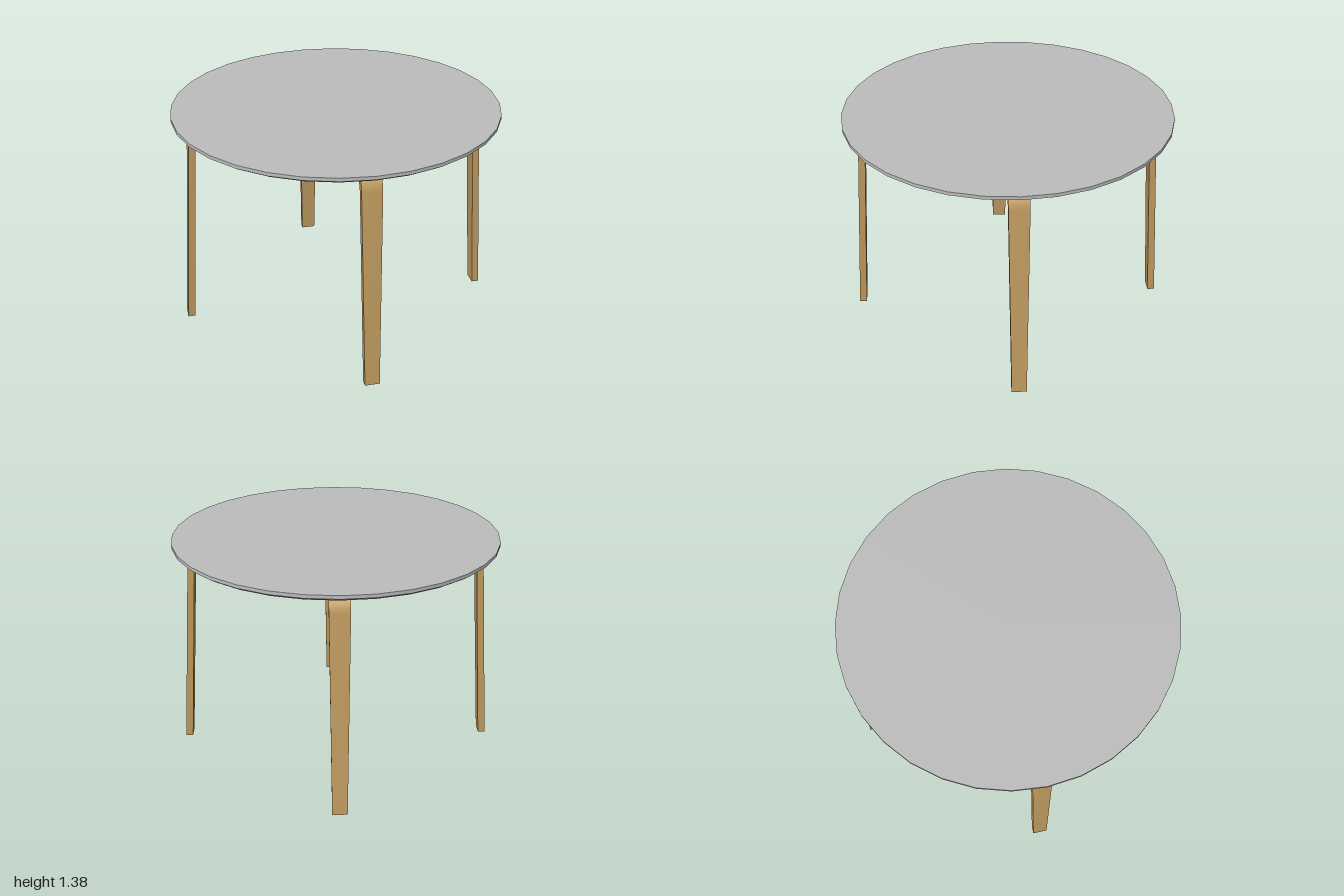
import * as THREE from 'three';
import { toCreasedNormals } from 'three/addons/utils/BufferGeometryUtils.js';

const HALF_TOP = 0.06;    // half width of the bent strip under the top
const HALF_FOOT = 0.045;  // half width at the floor
const BEND_Y = 1.23;      // height where the bend starts
const RAIL_TOP = 1.337, RAIL_BOTTOM = 1.293;

// Bent strip from the hub, out along the rail and down to the floor
function legGeometry() {
  const shape = new THREE.Shape();
  shape.moveTo(HALF_TOP, RAIL_BOTTOM);
  shape.lineTo(0.8, RAIL_BOTTOM);
  shape.bezierCurveTo(0.836, RAIL_BOTTOM, 0.864, 1.262, 0.867, BEND_Y - 0.01);
  shape.lineTo(0.945, 0);
  shape.lineTo(0.99, 0);
  shape.lineTo(0.908, BEND_Y);
  shape.bezierCurveTo(0.903, 1.292, 0.86, RAIL_TOP, 0.8, RAIL_TOP);
  shape.lineTo(HALF_TOP, RAIL_TOP);
  const geo = new THREE.ExtrudeGeometry(shape, { depth: 2, bevelEnabled: false, curveSegments: 8 });
  geo.translate(0, 0, -1);
  // Taper the width toward the floor
  const pos = geo.attributes.position;
  for (let i = 0; i < pos.count; i++) {
    const t = Math.min(pos.getY(i) / BEND_Y, 1);
    pos.setZ(i, pos.getZ(i) * THREE.MathUtils.lerp(HALF_FOOT, HALF_TOP, t));
  }
  return toCreasedNormals(geo, 0.5);
}

export function createModel() {
  const table = new THREE.Group();
  table.name = 'roundTable';
  const grey = new THREE.MeshStandardMaterial({ color: 0xbcbcbc });
  grey.name = 'greyTop';
  const wood = new THREE.MeshStandardMaterial({ color: 0xc09b60 });
  wood.name = 'lightWood';

  function add(geometry, material, name) {
    const mesh = new THREE.Mesh(geometry, material);
    mesh.name = name;
    table.add(mesh);
    return mesh;
  }

  // Round top with a chamfered lower edge
  const profile = [[0, 1.338], [0.97, 1.338], [1, 1.357], [1, 1.378], [0, 1.378]]
    .map(([r, y]) => new THREE.Vector2(r, y));
  add(toCreasedNormals(new THREE.LatheGeometry(profile, 32), 0.4), grey, 'tableTop');

  // Square crossing of the two rails
  const hub = add(new THREE.BoxGeometry(HALF_TOP * 2, RAIL_TOP - RAIL_BOTTOM, HALF_TOP * 2), wood, 'railCrossing');
  hub.position.y = (RAIL_TOP + RAIL_BOTTOM) / 2;

  // Four bent legs
  const leg = legGeometry();
  ['leftLeg', 'backLeg', 'rightLeg', 'frontLeg'].forEach((name, i) => {
    add(leg, wood, name).rotation.y = i * Math.PI / 2;
  });
  return table;
}
